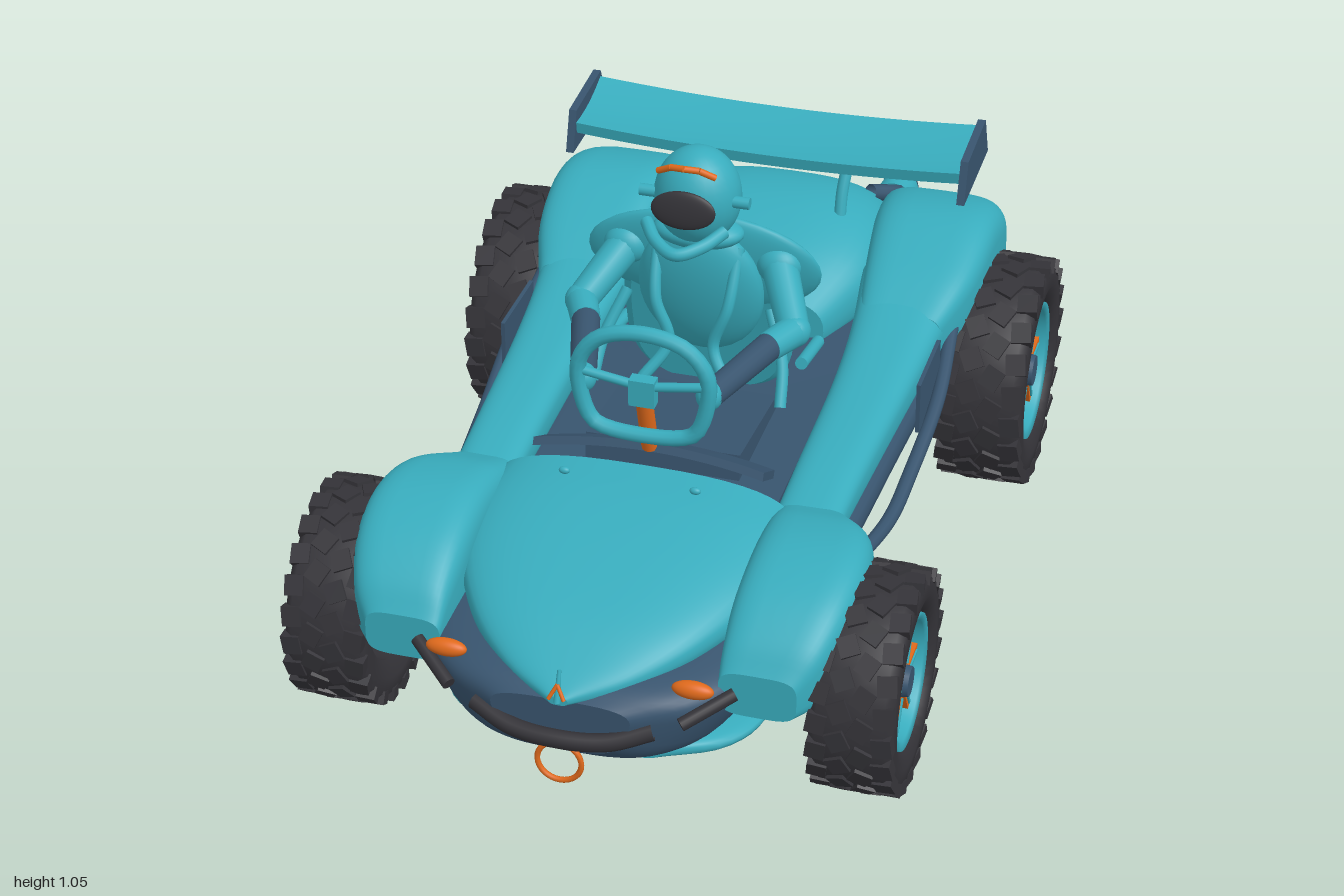
import * as THREE from 'three';
import { mergeGeometries } from 'three/addons/utils/BufferGeometryUtils.js';

const paint = (name, color) => {
  const m = new THREE.MeshStandardMaterial({ color, side: THREE.DoubleSide });
  m.name = name;
  return m;
};

export function createModel() {
  const root = new THREE.Group();
  const teal = paint('teal', 0x38acbd), navy = paint('navy', 0x38546e);
  const rubber = paint('rubber', 0x343338), orange = paint('orange', 0xe06a1c);
  const V = (p) => new THREE.Vector3(...p);

  const add = (name, geo, mat, pos = [0, 0, 0], rot = [0, 0, 0], parent = root) => {
    const m = new THREE.Mesh(geo, mat);
    m.name = name;
    m.position.set(...pos);
    m.rotation.set(...rot);
    parent.add(m);
    return m;
  };
  const box = (name, size, mat, pos, rot, parent) => add(name, new THREE.BoxGeometry(...size), mat, pos, rot, parent);
  const ball = (name, size, mat, pos, rot) => add(name, new THREE.SphereGeometry(1, 28, 18).scale(...size), mat, pos, rot);
  const tube = (name, pts, r, mat, closed = false) =>
    add(name, new THREE.TubeGeometry(new THREE.CatmullRomCurve3(pts.map(V), closed), 40, r, 10, closed), mat);
  // Tapered rod between two points
  const rod = (name, a, b, ra, rb, mat) => {
    const d = V(b).sub(V(a));
    const m = add(name, new THREE.CylinderGeometry(rb, ra, d.length(), 16), mat);
    m.position.copy(V(a)).addScaledVector(d, 0.5);
    m.quaternion.setFromUnitVectors(new THREE.Vector3(0, 1, 0), d.normalize());
  };
  const both = (fn) => [1, -1].forEach(fn);

  // Smooth hull from rounded sections [z, x0, x1, y0, y1], front to back; taper narrows the underside
  const loft = (name, rows, mat, n = 3, s = 1, taper = 0) => {
    const A = new THREE.CatmullRomCurve3(rows.map(([z, a, b]) => V(s > 0 ? [z, a, b] : [z, -b, -a])), false, 'catmullrom');
    const B = new THREE.CatmullRomCurve3(rows.map((r) => V([r[0], r[3], r[4]])), false, 'catmullrom');
    const N = 40, M = (rows.length - 1) * 5, pos = [], idx = [];
    const pw = (v) => Math.sign(v) * Math.abs(v) ** (2 / n);
    const ring = (t) => {
      const p = A.getPoint(t), q = B.getPoint(t), cx = (p.y + p.z) / 2, cy = (q.y + q.z) / 2;
      for (let j = 0; j < N; j++) {
        const a = (j / N) * Math.PI * 2, v = pw(Math.sin(a));
        pos.push(cx + ((p.z - p.y) / 2) * pw(Math.cos(a)) * (1 - (taper * (1 - v)) / 2), cy + ((q.z - q.y) / 2) * v, p.x);
      }
      return [cx, cy, p.x];
    };
    for (let i = 0; i <= M; i++) {
      ring(i / M);
      for (let j = 0; i < M && j < N; j++) {
        const a = i * N + j, b = i * N + ((j + 1) % N);
        idx.push(a, a + N, b, b, a + N, b + N);
      }
    }
    [0, 1].forEach((t) => {
      const o = pos.length / 3;
      pos.push(...ring(t));
      for (let j = 0; j < N; j++) {
        const k = (j + 1) % N;
        idx.push(o + N, o + (t ? k : j), o + (t ? j : k));
      }
    });
    const g = new THREE.BufferGeometry();
    g.setAttribute('position', new THREE.Float32BufferAttribute(pos, 3));
    g.setIndex(idx);
    g.computeVertexNormals();
    return add(name, g, mat);
  };
  const sym = (rows) => rows.map(([z, w, a, b]) => [z, -w, w, a, b]);

  // Body
  loft('lowerHull', sym([[0.955, 0.16, 0.2, 0.32], [0.9, 0.28, 0.16, 0.345], [0.8, 0.37, 0.145, 0.36], [0.6, 0.42, 0.145, 0.38],
    [0.38, 0.465, 0.145, 0.4], [0, 0.49, 0.14, 0.415], [-0.4, 0.505, 0.14, 0.43], [-0.7, 0.45, 0.15, 0.44], [-0.85, 0.38, 0.185, 0.46],
    [-0.94, 0.31, 0.26, 0.47]]), navy, 3.6, 1, 0.3);
  loft('hood', sym([[0.965, 0.02, 0.315, 0.335], [0.9, 0.13, 0.31, 0.375], [0.8, 0.23, 0.31, 0.425], [0.65, 0.31, 0.31, 0.47],
    [0.5, 0.335, 0.31, 0.5], [0.38, 0.32, 0.33, 0.51]]), teal, 2.6);
  loft('engineCover', sym([[-0.35, 0.2, 0.36, 0.53], [-0.5, 0.27, 0.36, 0.6], [-0.65, 0.28, 0.36, 0.63], [-0.8, 0.25, 0.38, 0.6],
    [-0.94, 0.19, 0.43, 0.5]]), teal, 2.6);
  both((s) => {
    loft('sidePod', [[0.39, 0.28, 0.42, 0.38, 0.46], [0.2, 0.28, 0.43, 0.38, 0.48], [-0.1, 0.28, 0.45, 0.39, 0.5],
      [-0.32, 0.27, 0.47, 0.4, 0.53], [-0.5, 0.25, 0.5, 0.42, 0.58]], teal, 3, s);
    loft('rearFender', [[-0.34, 0.28, 0.47, 0.41, 0.53], [-0.48, 0.26, 0.515, 0.41, 0.59], [-0.65, 0.24, 0.53, 0.4, 0.632],
      [-0.82, 0.22, 0.52, 0.33, 0.59], [-0.92, 0.2, 0.43, 0.29, 0.5]], teal, 4, s);
    loft('frontFender', [[0.84, 0.29, 0.45, 0.27, 0.37], [0.79, 0.285, 0.49, 0.27, 0.43], [0.7, 0.28, 0.52, 0.27, 0.485],
      [0.58, 0.28, 0.53, 0.28, 0.512], [0.46, 0.28, 0.51, 0.3, 0.5], [0.36, 0.28, 0.44, 0.32, 0.46]], teal, 4, s);
    // Side details
    tube('sidePipe', [[0.44, 0.33, 0.37], [0.475, 0.315, 0.15], [0.485, 0.34, 0], [0.495, 0.4, -0.22], [0.48, 0.47, -0.42]]
      .map(([x, y, z]) => [x * s, y, z]), 0.016, navy);
    box('sidePlate', [0.009, 0.12, 0.2], navy, [0.475 * s, 0.44, -0.2]);
    // Nose details
    ball('headlight', [0.043, 0.019, 0.018], orange, [0.255 * s, 0.355, 0.895]);
    rod('noseSlat', [0.33 * s, 0.335, 0.86], [0.24 * s, 0.292, 0.93], 0.014, 0.014, rubber);
    ball('hoodPin', [0.012, 0.008, 0.008], teal, [0.14 * s, 0.535, 0.48]);
    rod('ornamentProng', [0, 0.365, 0.965], [0.016 * s, 0.335, 0.975], 0.004, 0.004, orange);
    // Tail lamps on curved mounts
    tube('lampMount', [[0.2 * s, 0.575, -0.79], [0.245 * s, 0.55, -0.85], [0.24 * s, 0.51, -0.92]], 0.02, navy);
    add('lampHousing', new THREE.CylinderGeometry(0.042, 0.052, 0.07, 24), teal, [0.235 * s, 0.505, -0.93], [-1.45, 0, 0]);
    add('lampRing', new THREE.CylinderGeometry(0.036, 0.044, 0.022, 24), navy, [0.235 * s, 0.51, -0.972], [-1.45, 0, 0]);
    ball('lampLens', [0.026, 0.026, 0.01], rubber, [0.235 * s, 0.512, -0.984]);
    rod('lampMarker', [0.225 * s, 0.555, -0.96], [0.265 * s, 0.553, -0.96], 0.011, 0.011, orange);
    // Wing supports and end plates
    tube('wingStrut', [[0.17 * s, 0.6, -0.61], [0.17 * s, 0.66, -0.63], [0.18 * s, 0.75, -0.67]], 0.014, teal);
    const plate = new THREE.Shape([[-0.55, 0.705], [-0.58, 0.8], [-0.765, 0.815], [-0.81, 0.715]].map((p) => new THREE.Vector2(-p[0], p[1])));
    add('wingEndPlate', new THREE.ExtrudeGeometry(plate, { depth: 0.018, bevelEnabled: false }).rotateY(Math.PI / 2), navy, [0.46 * s - 0.009, 0, 0]);
  });
  const wing = new THREE.BoxGeometry(0.92, 0.028, 0.19, 16, 1, 6), wp = wing.attributes.position;
  for (let i = 0; i < wp.count; i++) wp.setY(i, wp.getY(i) + 0.1 * wp.getX(i) ** 2 + 1.2 * wp.getZ(i) ** 2);
  wing.computeVertexNormals();
  add('rearWing', wing, teal, [0, 0.742, -0.675], [0.16, 0, 0]);

  // Floor tray
  loft('floorTray', sym([[0.84, 0.17, 0.115, 0.16], [0.76, 0.3, 0.108, 0.162], [0.6, 0.35, 0.105, 0.16], [0.2, 0.355, 0.105, 0.158],
    [-0.3, 0.355, 0.105, 0.158], [-0.65, 0.35, 0.11, 0.16], [-0.84, 0.27, 0.14, 0.175]]), teal, 2.8);

  // Nose and tail fittings
  tube('bumper', [[-0.185, 0.268, 0.935], [-0.1, 0.245, 0.965], [0, 0.24, 0.975], [0.1, 0.245, 0.965], [0.185, 0.268, 0.935]], 0.019, rubber);
  add('towRing', new THREE.TorusGeometry(0.046, 0.006, 8, 32), orange, [0, 0.177, 0.965]);
  rod('noseOrnament', [0, 0.325, 0.97], [0, 0.39, 0.95], 0.007, 0.004, teal);
  tube('tailStrip', [[-0.18, 0.475, -0.945], [-0.09, 0.45, -0.958], [0, 0.443, -0.963], [0.09, 0.45, -0.958], [0.18, 0.475, -0.945]], 0.009, orange);
  box('tailPlate', [0.2, 0.08, 0.012], navy, [0, 0.335, -0.952]);
  box('diffuser', [0.5, 0.03, 0.13], navy, [0, 0.235, -0.88], [0.6, 0, 0]);
  const fin = new THREE.Shape([[0.8, 0.165], [0.945, 0.165], [0.945, 0.27], [0.88, 0.25]].map((p) => new THREE.Vector2(...p)));
  for (let i = -2; i <= 2; i++)
    add('diffuserFin', new THREE.ExtrudeGeometry(fin, { depth: 0.014, bevelEnabled: false }).rotateY(Math.PI / 2), teal, [i * 0.115 - 0.007, 0, 0]);

  // Cockpit
  const dash = new THREE.BoxGeometry(0.5, 0.018, 0.1, 16), dp = dash.attributes.position;
  for (let i = 0; i < dp.count; i++) dp.setY(i, dp.getY(i) - 0.4 * dp.getX(i) ** 2);
  dash.computeVertexNormals();
  add('dashboard', dash, navy, [0, 0.508, 0.3], [-0.5, 0, 0]);
  box('cockpitFloor', [0.54, 0.02, 0.74], navy, [0, 0.41, 0]);
  box('seatCushion', [0.34, 0.07, 0.3], navy, [0, 0.43, 0.1], [-0.1, 0, 0]);
  ball('seatShoulders', [0.26, 0.13, 0.032], teal, [0, 0.755, -0.075], [0.2, 0, 0]);
  const back = loft('seatBack', sym([[0.02, 0.17, -0.2, 0.18], [0, 0.19, -0.21, 0.2], [-0.025, 0.16, -0.19, 0.18]]), teal, 3);
  back.position.set(0, 0.61, -0.11);
  back.rotation.x = 0.2;
  // Flat-bottomed steering wheel
  tube('steeringWheel', [[0, 0.826, 0.38], [0.09, 0.805, 0.38], [0.135, 0.75, 0.38], [0.137, 0.68, 0.38], [0.11, 0.605, 0.38], [0.07, 0.588, 0.38],
    [-0.07, 0.588, 0.38], [-0.11, 0.605, 0.38], [-0.137, 0.68, 0.38], [-0.135, 0.75, 0.38], [-0.09, 0.805, 0.38]], 0.017, teal, true);
  box('steeringHub', [0.055, 0.06, 0.03], teal, [0, 0.69, 0.38]);
  rod('steeringColumn', [0, 0.67, 0.375], [0, 0.53, 0.335], 0.018, 0.018, orange);

  // Driver
  ball('torso', [0.14, 0.17, 0.055], teal, [0, 0.7, -0.05], [0.2, 0, 0]);
  ball('collar', [0.1, 0.035, 0.06], teal, [0, 0.85, -0.03]);
  ball('helmet', [0.094, 0.11, 0.088], teal, [0, 0.938, -0.025]);
  ball('visor', [0.07, 0.042, 0.012], rubber, [0, 0.957, 0.088], [-0.15, 0, 0]);
  tube('chinGuard', [[-0.085, 0.91, 0.07], [-0.05, 0.895, 0.12], [0, 0.885, 0.15], [0.05, 0.895, 0.12], [0.085, 0.91, 0.07]], 0.014, teal);
  both((s) => {
    rod('helmetPeak', [0.062 * s, 1.028, 0.06], [0.03 * s, 1.046, 0.072], 0.007, 0.007, orange);
    rod('helmetPeakFront', [0.03 * s, 1.046, 0.072], [0, 1.05, 0.08], 0.007, 0.007, orange);
    rod('helmetBolt', [0.08 * s, 0.945, 0], [0.12 * s, 0.945, 0], 0.013, 0.013, teal);
    rod('wheelSpoke', [0, 0.7, 0.38], [0.13 * s, 0.72, 0.38], 0.01, 0.01, teal);
    const sh = [0.17 * s, 0.775, -0.06], el = [0.235 * s, 0.69, 0.06], wr = [0.2 * s, 0.69, 0.14], hand = [0.135 * s, 0.69, 0.36];
    ball('shoulder', [0.05, 0.045, 0.04], teal, sh);
    rod('upperArm', sh, el, 0.04, 0.034, teal);
    ball('elbow', [0.036, 0.036, 0.036], teal, el);
    rod('sleeve', el, wr, 0.035, 0.032, teal);
    rod('forearm', wr, hand, 0.031, 0.028, navy);
    ball('hand', [0.028, 0.032, 0.028], teal, hand);
    tube('harness', [[0.09 * s, 0.82, -0.03], [0.08 * s, 0.7, 0.025], [0.05 * s, 0.6, 0.03], [0.1 * s, 0.52, 0.07]], 0.013, teal);
    tube('seatBar', [[0.16 * s, 0.68, -0.03], [0.2 * s, 0.58, 0.02], [0.21 * s, 0.5, 0.07]], 0.013, teal);
    rod('beltPost', [0.22 * s, 0.5, -0.22], [0.22 * s, 0.53, -0.07], 0.014, 0.014, teal);
  });

  // Wheels with blocky tread; the axle runs along the local x axis
  const wheel = (name, R, w, pos, s) => {
    const g = new THREE.Group();
    g.name = name;
    g.position.set(pos[0] * s, pos[1], pos[2]);
    g.rotation.y = s > 0 ? 0 : Math.PI;
    root.add(g);
    const h = w / 2, r = R * 0.6, axle = [0, 0, -Math.PI / 2];
    const lathe = (pts) => new THREE.LatheGeometry(pts.map((p) => new THREE.Vector2(...p)), 48);
    add('tire', lathe([[r, -h * 0.8], [R * 0.75, -h], [R * 0.9, -h * 0.97], [R * 0.965, -h * 0.78], [R * 0.97, 0], [R * 0.965, h * 0.78],
      [R * 0.9, h * 0.97], [R * 0.75, h], [r, h * 0.8], [r, -h * 0.8]]), rubber, [0, 0, 0], axle, g);
    const blocks = [];
    for (let i = 0; i < 22; i++) for (let k = 0; k < 4; k++) {
      const edge = k === 0 || k === 3;
      const b = new THREE.BoxGeometry(w * 0.23, R * (edge ? 0.12 : 0.07), R * 0.18);
      b.rotateY((k % 2 ? 0.45 : -0.45) * (edge ? 0.3 : 1));
      b.translate((k - 1.5) * w * 0.257, R * (edge ? 0.925 : 0.96), 0);
      b.rotateX(((i + (k % 2) * 0.5) / 22) * Math.PI * 2);
      blocks.push(b);
    }
    add('tread', mergeGeometries(blocks), rubber, [0, 0, 0], [0, 0, 0], g);
    add('rim', lathe([[r * 0.86, h * 0.2], [r * 0.88, h * 0.82], [r, h * 0.88], [r * 1.01, h * 0.78]]), teal, [0, 0, 0], axle, g);
    add('rimDisc', new THREE.CylinderGeometry(r * 0.9, r * 0.9, h * 0.2, 40), teal, [h * 0.25, 0, 0], axle, g);
    for (let i = 0; i < 6; i++) {
      const a = (i / 6) * Math.PI * 2 + Math.PI / 6;
      box('spoke', [h * 0.18, r * 0.6, r * 0.15], orange, [h * 0.6, Math.cos(a) * r * 0.53, Math.sin(a) * r * 0.53], [a, 0, 0], g);
      box('spokeCap', [h * 0.1, r * 0.5, r * 0.05], teal, [h * 0.68, Math.cos(a) * r * 0.5, Math.sin(a) * r * 0.5], [a, 0, 0], g);
    }
    box('brakeCaliper', [h * 0.3, r * 0.46, r * 0.48], orange, [h * 0.42, -r * 0.57, 0], [0, 0, 0], g);
    add('hub', new THREE.CylinderGeometry(r * 0.22, r * 0.27, h * 0.5, 20), navy, [h * 0.6, 0, 0], axle, g);
    rod('axle', [0.2 * s, pos[1], pos[2]], [pos[0] * s, pos[1], pos[2]], 0.015, 0.015, navy);
  };
  both((s) => {
    wheel('frontWheel', 0.237, 0.175, [0.553, 0.24, 0.6], s);
    wheel('rearWheel', 0.267, 0.195, [0.56, 0.27, -0.605], s);
  });
  return root;
}
